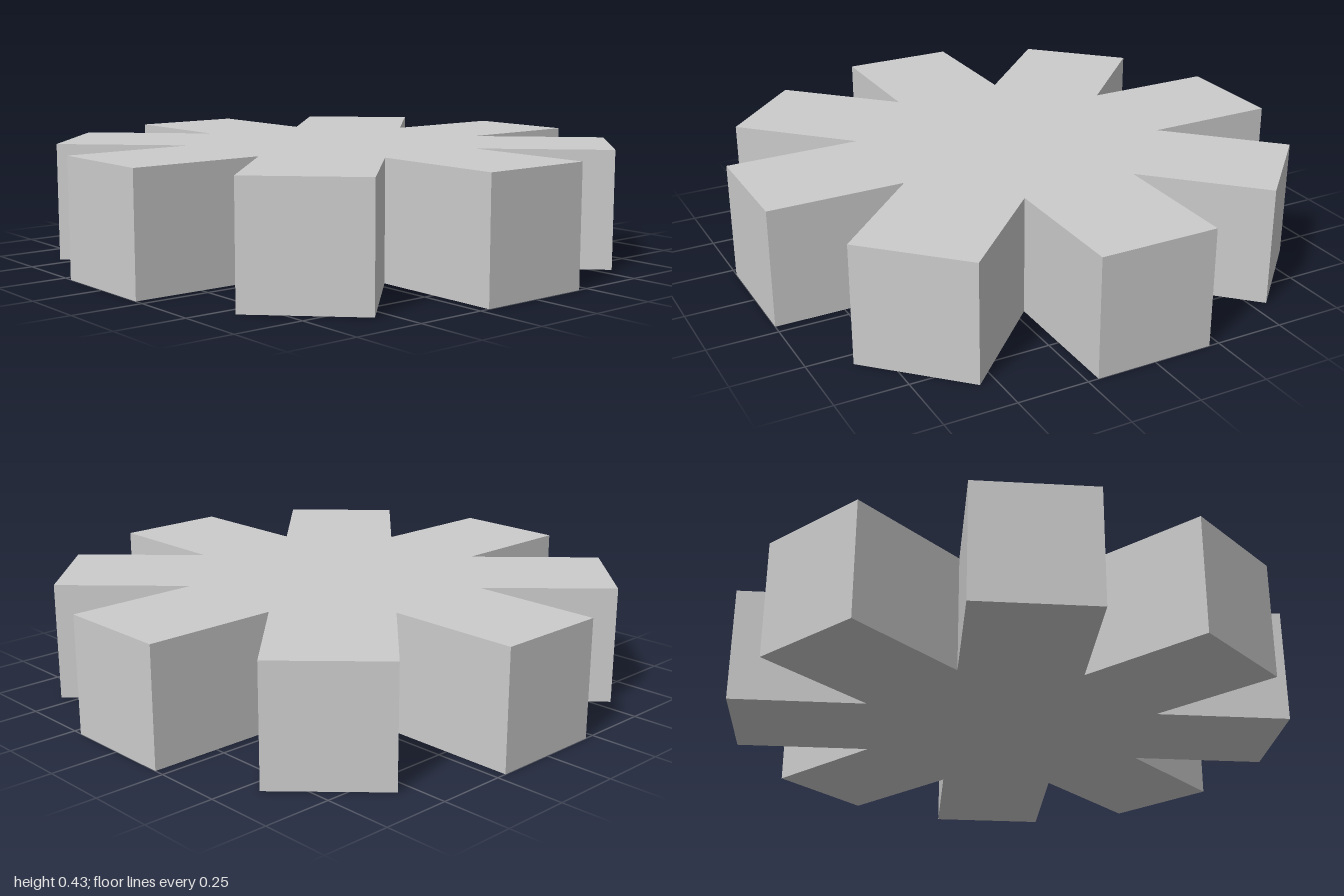
import * as THREE from 'three';

const ARMS = 8;
const RADIUS = 1; // centre to arm end
const HALF_WIDTH = 0.2125; // half the arm width
const HEIGHT = 0.427;

// Outline: two outer corners per arm, then the notch before the next arm
function starOutline() {
  const step = (Math.PI * 2) / ARMS;
  const notch = HALF_WIDTH / Math.sin(step / 2);
  const points = [];
  for (let i = 0; i < ARMS; i++) {
    const a = i * step;
    const centre = new THREE.Vector2();
    points.push(
      new THREE.Vector2(RADIUS, -HALF_WIDTH).rotateAround(centre, a),
      new THREE.Vector2(RADIUS, HALF_WIDTH).rotateAround(centre, a),
      new THREE.Vector2(notch, 0).rotateAround(centre, a + step / 2)
    );
  }
  return new THREE.Shape(points);
}

export function createModel() {
  const group = new THREE.Group();
  group.name = 'eightArmedStar';

  // Flat star extruded upwards from the ground
  const geometry = new THREE.ExtrudeGeometry(starOutline(), { depth: HEIGHT, bevelEnabled: false });
  geometry.rotateX(-Math.PI / 2);
  const material = new THREE.MeshStandardMaterial({ color: 0xcccccc, flatShading: true });
  const star = new THREE.Mesh(geometry, material);
  star.name = 'starBody';
  group.add(star);

  return group;
}
